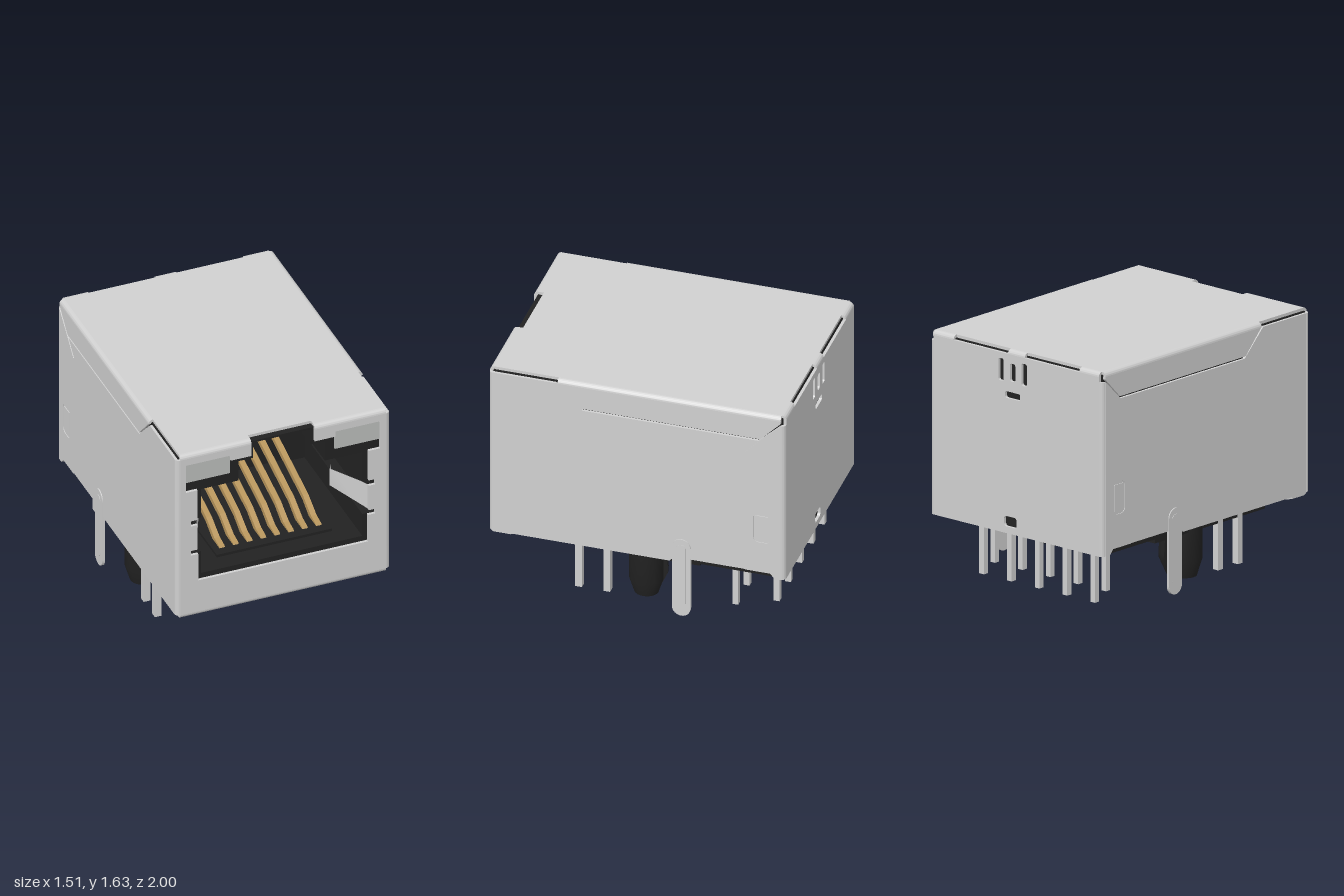
import * as THREE from 'three';
import { toCreasedNormals } from 'three/addons/utils/BufferGeometryUtils.js';
import { ConvexGeometry } from 'three/addons/geometries/ConvexGeometry.js';

export function createModel() {
  const root = new THREE.Group();
  const mat = (name, color, side = THREE.FrontSide) => {
    const m = new THREE.MeshStandardMaterial({ color, side });
    m.name = name;
    return m;
  };
  const silver = mat('silver metal', 0xd0d0d0, THREE.DoubleSide);
  const black = mat('black plastic', 0x222222);
  const gold = mat('gold contact', 0xb8965c);
  const lens = mat('grey lens', 0xb9bbb9);

  const add = (name, geo, m, x = 0, y = 0, z = 0) => {
    const mesh = new THREE.Mesh(geo, m);
    mesh.name = name;
    mesh.position.set(x, y, z);
    root.add(mesh);
    return mesh;
  };
  // Box given by its limits
  const box = (name, m, x0, x1, y0, y1, z0, z1) =>
    add(name, new THREE.BoxGeometry(x1 - x0, y1 - y0, z1 - z0), m, (x0 + x1) / 2, (y0 + y1) / 2, (z0 + z1) / 2);
  const poly = (pts) => new THREE.Shape(pts.map((p) => new THREE.Vector2(...p)));
  const mirrored = (half) => poly([...half, ...half.map(([x, y]) => [-x, y]).reverse()]);
  const slot = (cx, cy, w, h) => {
    const r = Math.min(w, h) * 0.3, p = new THREE.Path();
    const a = w / 2 - r, b = h / 2 - r;
    p.absarc(cx + a, cy + b, r, 0, Math.PI / 2);
    p.absarc(cx - a, cy + b, r, Math.PI / 2, Math.PI);
    p.absarc(cx - a, cy - b, r, Math.PI, Math.PI * 1.5);
    p.absarc(cx + a, cy - b, r, Math.PI * 1.5, Math.PI * 2);
    p.closePath();
    return p;
  };
  const plate = (shape, depth) =>
    new THREE.ExtrudeGeometry(shape, { depth, bevelEnabled: false, curveSegments: 8 });
  // Plate drawn in (z, y), facing sideways and centred on x = cx
  const sidePlate = (name, shape, m, cx, t) =>
    add(name, plate(shape, t).rotateY(-Math.PI / 2), m, cx + t / 2);
  // Plate drawn in (x, z), with its upper face at y
  const flatPlate = (name, shape, m, y, t) => add(name, plate(shape, t).rotateX(Math.PI / 2), m, 0, y);

  // Rounded bend between two faces with outward directions u and v
  const R = 0.03;
  const bend = (name, u, v, center, len) => {
    const s = new THREE.Shape();
    s.absarc(0, 0, R, 0, Math.PI / 2, false);
    s.absarc(0, 0, R - 0.018, Math.PI / 2, 0, true);
    const g = plate(s, len).translate(0, 0, -len / 2);
    const U = new THREE.Vector3(...u), V = new THREE.Vector3(...v);
    const W = new THREE.Vector3().crossVectors(U, V);
    g.applyMatrix4(new THREE.Matrix4().makeBasis(U, V, W));
    add(name, toCreasedNormals(g, 0.6), silver, ...center);
  };

  // Plastic housing: front frame around the socket, solid rear
  const frame = poly([[-0.722, 0.4], [0.722, 0.4], [0.722, 1.612], [-0.722, 1.612]]);
  frame.holes.push(mirrored([
    [0.56, 0.68], [0.56, 0.85], [0.64, 0.85], [0.64, 1.11], [0.56, 1.11], [0.56, 1.33],
    [0.3, 1.33], [0.3, 1.48], [0.2, 1.48], [0.2, 1.598],
  ]));
  add('housingFrame', plate(frame, 0.975), black);
  box('housingRear', black, -0.722, 0.722, 0.4, 1.612, -0.975, 0);
  box('latchStop', black, -0.295, 0.295, 1.105, 1.4, 0, 0.12);
  box('contactBase', black, -0.4, 0.4, 0.67, 0.7, 0, 0.85);

  // Front face with the socket opening
  add('frontFace', plate(mirrored([
    [0.715, 0.405], [0.715, 1.605], [0.22, 1.605], [0.22, 1.515], [0.365, 1.515], [0.365, 1.555],
    [0.675, 1.555], [0.675, 1.345], [0.595, 1.345], [0.595, 1.115], [0.64, 1.115], [0.64, 1.075],
    [0.595, 1.075], [0.595, 0.885], [0.64, 0.885], [0.64, 0.85], [0.59, 0.85], [0.59, 0.645],
  ]), 0.02), silver, 0, 0, 0.98);
  // Front face lip folded under the housing
  flatPlate('bottomLip', poly([[-0.715, 0.97], [0.715, 0.97], [0.715, 0.86], [0.62, 0.72], [-0.62, 0.72], [-0.715, 0.86]]),
    silver, 0.39, 0.015);

  // Top, notched at the front
  flatPlate('top', mirrored([[0.715, -0.97], [0.715, 0.97], [0.22, 0.97], [0.22, 0.935]]), silver, 1.635, 0.02);

  // Back with its slots
  const back = poly([[-0.715, 0.4], [0.715, 0.4], [0.715, 1.605], [-0.715, 1.605]]);
  back.holes.push(slot(0.13, 1.49, 0.045, 0.15), slot(0.03, 1.485, 0.045, 0.12), slot(-0.07, 1.49, 0.045, 0.15),
    slot(0.03, 1.33, 0.13, 0.045), slot(0.05, 0.48, 0.11, 0.07));
  add('back', plate(back, 0.02), silver, 0, 0, -1);
  for (const [a, b] of [[-0.715, -0.545], [-0.075, 0.07], [0.54, 0.715]])
    bend('backTopBend', [0, 1, 0], [0, 0, -1], [(a + b) / 2, 1.605, -0.97], b - a);
  bend('frontBottomBend', [0, -1, 0], [0, 0, 1], [0, 0.405, 0.97], 1.43);

  const capsule = (r, y0, y1) => {
    const s = new THREE.Shape();
    s.absarc(-0.3, y1 - r, r, 0, Math.PI, false);
    s.absarc(-0.3, y0 + r, r, Math.PI, Math.PI * 2, false);
    s.closePath();
    return s;
  };

  for (const s of [1, -1]) {
    // Side wall, top flap and back flap
    sidePlate('side', poly([
      [0.97, 0.4], [0.97, 1.605], [0.55, 1.605], [0.373, 1.43], [-0.82, 1.43], [-0.96, 1.56], [-0.96, 0.435],
      [-0.25, 0.435], [-0.22, 0.4],
    ]), silver, s * 0.734, 0.018);
    sidePlate('topFlap', poly([[0.53, 1.605], [0.38, 1.445], [-0.83, 1.445], [-0.97, 1.587], [-0.97, 1.605]]),
      silver, s * 0.735, 0.02);
    const flap = poly([[-0.73, 0.435], [-0.73, 1.33], [-0.82, 1.425], [-0.97, 1.57], [-0.97, 0.4], [-0.93, 0.4], [-0.9, 0.435]]);
    flap.holes.push(slot(-0.843, 0.77, 0.115, 0.22));
    sidePlate('backFlap', flap, silver, s * 0.738, 0.02);
    box('catch', silver, s * 0.738 - 0.01, s * 0.738 + 0.01, 0.68, 0.86, -0.885, -0.8);

    // Rounded bends
    bend('topSideBend', [s, 0, 0], [0, 1, 0], [s * 0.715, 1.605, -0.217], 1.505);
    bend('frontSideBend', [s, 0, 0], [0, 0, 1], [s * 0.715, 1.005, 0.97], 1.2);
    bend('backSideBend', [s, 0, 0], [0, 0, -1], [s * 0.715, 0.985, -0.97], 1.17);
    bend('frontTopBend', [0, 1, 0], [0, 0, 1], [s * 0.4675, 1.605, 0.97], 0.495);

    // Grounding leg with a raised rib
    sidePlate('groundLeg', capsule(0.062, 0, 0.58), silver, s * 0.74, 0.02);
    sidePlate('groundLegRib', capsule(0.032, 0.07, 0.54), silver, s * 0.742, 0.022);

    // Indicator lens
    const x = s * 0.52;
    add('indicatorLens', plate(poly([
      [-0.155, 1.41], [0.155, 1.41], [0.155, 1.54], [0.14, 1.555], [-0.14, 1.555], [-0.155, 1.54],
    ]), 0.085), lens, x, 0, 0.9);

    // Shield spring bent into the socket
    const path = [[0.6, 0.99, 0.095], [0.57, 0.92, 0.09], [0.455, 0.68, 0.065], [0.49, 0.62, 0.06]];
    const spring = new THREE.PlaneGeometry(1, 1, 3, 1);
    const p = spring.attributes.position;
    for (let i = 0; i < p.count; i++) {
      const [px, pz, h] = path[i % 4];
      p.setXYZ(i, s * px, 0.98 + (i < 4 ? h : -h), pz);
    }
    spring.computeVertexNormals();
    add('shieldSpring', spring, silver);

    // Split locating peg: outer and inner prong
    box('footRail', black, x - 0.14, x + 0.14, 0.345, 0.41, -0.4, 0.66);
    for (const q of [1, -1]) {
      const levels = q === s
        ? [[0.4, 0.115], [0.14, 0.115], [0.03, 0.08]]
        : [[0.4, 0.105], [0.21, 0.105], [0.18, 0.122], [0.14, 0.12], [0.03, 0.07]];
      const pts = [];
      for (const [y, r] of levels)
        for (let i = 0; i <= 12; i++) {
          const a = -Math.PI / 2 + (Math.PI * i) / 12;
          pts.push(new THREE.Vector3(q * (0.035 + r * 0.95 * Math.cos(a)), y, r * Math.sin(a)));
        }
      add('pegProng', toCreasedNormals(new ConvexGeometry(pts), 0.5), black, s * 0.535, 0, -0.01);
    }

    // Indicator pins
    for (const z of [0.42, 0.23])
      box('indicatorPin', silver, s * 0.64 - 0.023, s * 0.64 + 0.023, 0.03, 0.42, z - 0.023, z + 0.023);
  }

  // Two staggered rows of solder pins
  for (let i = 0; i < 10; i++) {
    const x = -0.54 + i * 0.12, z = i % 2 ? -0.605 : -0.845;
    box('solderPin', silver, x - 0.02, x + 0.02, 0.03, 0.42, z - 0.02, z + 0.02);
  }

  // Eight sloping contacts
  const contact = poly([[0.8, 0.68], [0.78, 0.71], [0.7, 0.725], [0.56, 0.8], [0, 0.95], [0, 0.915], [0.55, 0.765], [0.68, 0.69]]);
  for (let i = 0; i < 8; i++)
    sidePlate('contact', contact, gold, -0.336 + i * 0.096, 0.038);

  return root;
}
